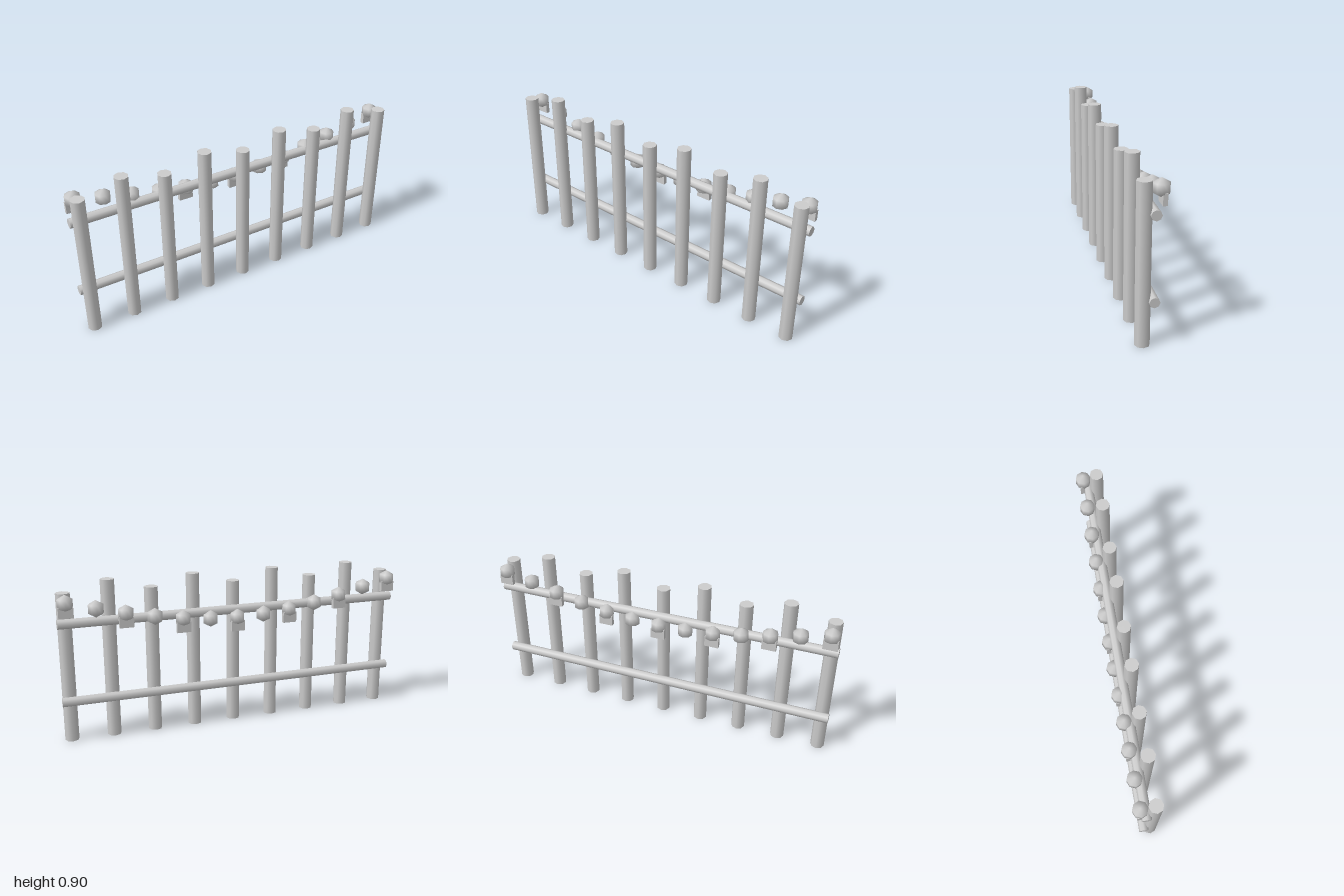
import * as THREE from 'three';

export function createModel() {
  const model = new THREE.Group();
  model.name = 'fence';
  const grey = new THREE.MeshStandardMaterial({ color: 0xcccccc });
  grey.name = 'plain grey';

  function add(name, geometry, x, y, z) {
    const mesh = new THREE.Mesh(geometry, grey);
    mesh.name = name;
    mesh.position.set(x, y, z);
    model.add(mesh);
    return mesh;
  }

  const END = 0.955; // centre of the outermost post and bead

  // Upright posts, alternating short and tall
  const POSTS = 9;
  for (let i = 0; i < POSTS; i++) {
    const h = i % 2 ? 0.897 : 0.838;
    const x = -END + (2 * END * i) / (POSTS - 1);
    add('post', new THREE.CylinderGeometry(0.039, 0.039, h, 8), x, h / 2, 0.041);
  }

  // Two horizontal rails behind the posts
  const railGeometry = new THREE.CylinderGeometry(0.027, 0.027, 2, 8).rotateZ(Math.PI / 2);
  for (const y of [0.24, 0.679]) add('rail', railGeometry, 0, y, -0.007);

  // Sagging garland of beads, with a small tag under every second one
  const BEADS = 13;
  const beadGeometry = new THREE.SphereGeometry(0.048, 8, 3);
  const tagGeometry = new THREE.BoxGeometry(0.08, 0.06, 0.023);
  for (let i = 0; i < BEADS; i++) {
    const t = i / (BEADS - 1);
    const x = -END + 2 * END * t;
    const y = 0.797 - 0.157 * Math.sin(Math.PI * t);
    add('bead', beadGeometry, x, y, -0.038);
    if (i % 2 === 0) add('tag', tagGeometry, x, y - 0.047, -0.0465);
  }

  return model;
}
